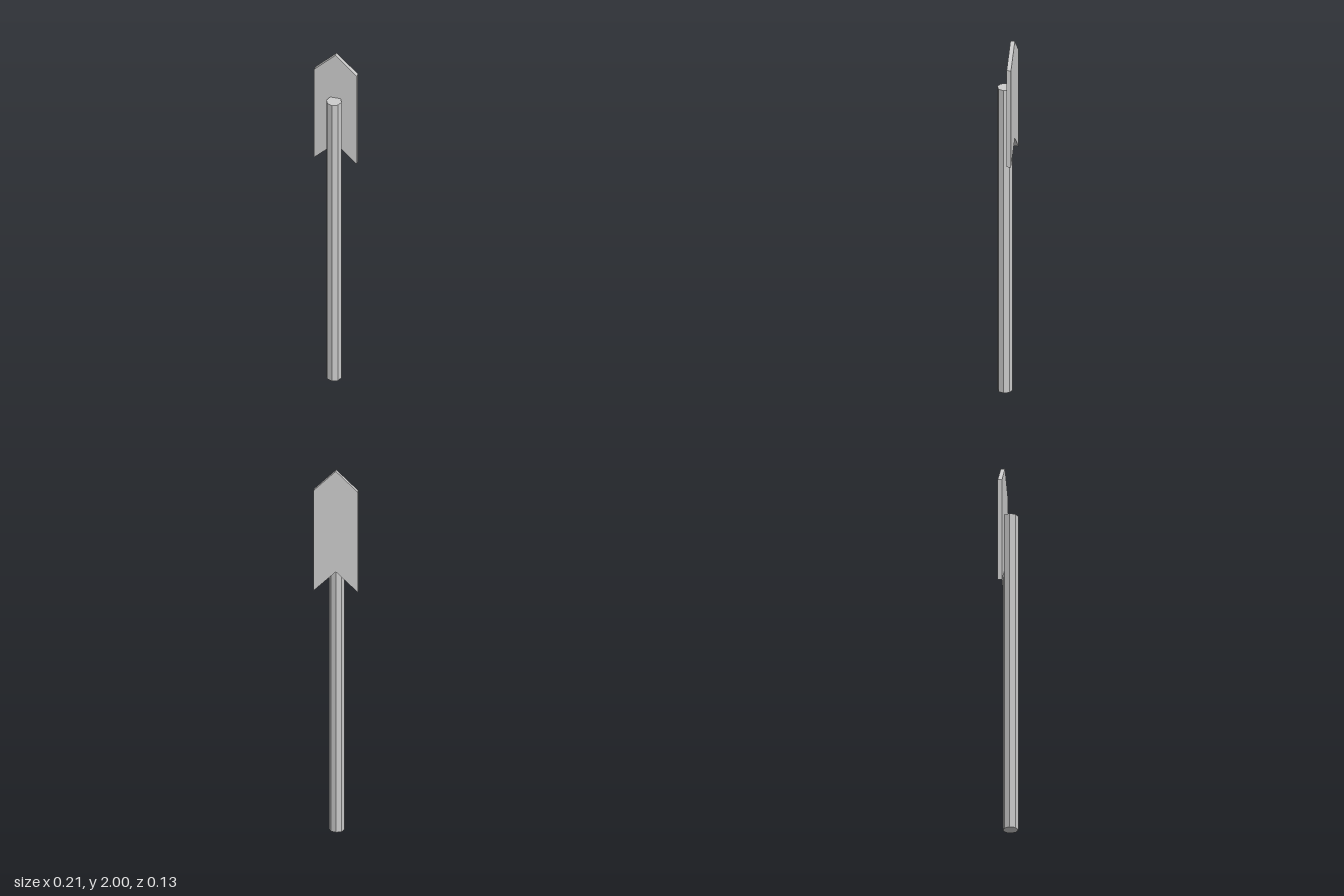
import * as THREE from 'three';

export function createModel() {
  const model = new THREE.Group();
  model.name = 'arrowSign';
  const material = new THREE.MeshStandardMaterial({ color: 0xcccccc, flatShading: true });

  // The sign is built square to its own axes, then turned as a whole.
  const sign = new THREE.Group();
  sign.name = 'sign';
  sign.position.set(-0.001, 0, -0.0075);
  sign.rotation.y = -THREE.MathUtils.degToRad(26.5);
  model.add(sign);

  // Arrow board: pointed top, notched tail
  const halfWidth = 0.111, thickness = 0.022;
  const outline = new THREE.Shape([
    [0, 2], [-halfWidth, 1.89], [-halfWidth, 1.337],
    [0, 1.445], [halfWidth, 1.337], [halfWidth, 1.89],
  ].map(([x, y]) => new THREE.Vector2(x, y)));
  const boardGeometry = new THREE.ExtrudeGeometry(outline, { depth: thickness, bevelEnabled: false });
  boardGeometry.translate(0, 0, -thickness / 2);
  const board = new THREE.Mesh(boardGeometry, material);
  board.name = 'arrowBoard';
  sign.add(board);

  // Octagonal post, its rear edge set into the board
  const radius = 0.039, height = 1.733;
  const post = new THREE.Mesh(new THREE.CylinderGeometry(radius, radius, height, 8), material);
  post.name = 'post';
  post.position.set(0, height / 2, radius);
  sign.add(post);

  return model;
}
